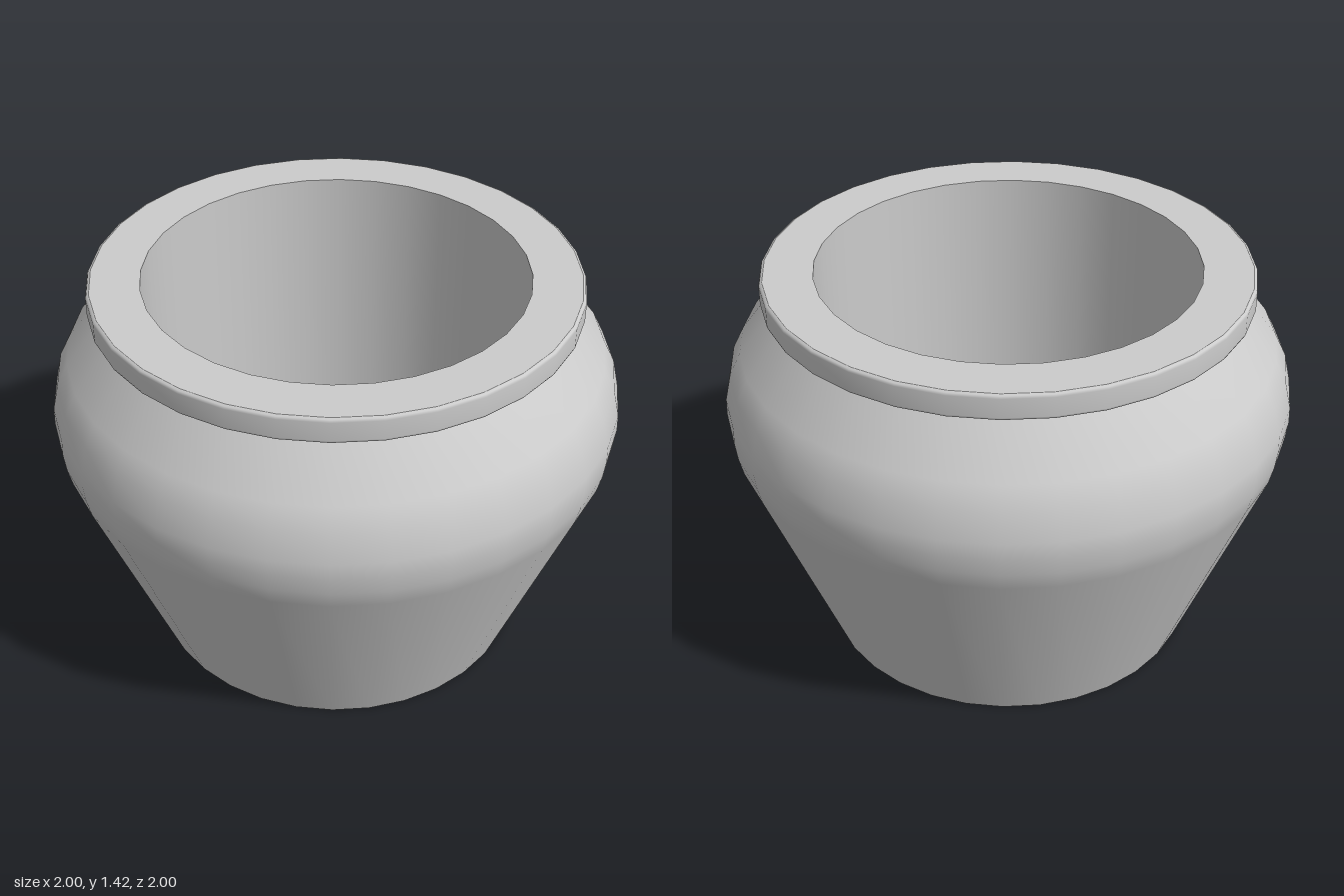
import * as THREE from 'three';

const SIDES = 32;
const material = new THREE.MeshStandardMaterial({ color: 0xcccccc });

// One smooth surface of revolution; separate surfaces keep the edges between them sharp
function turned(name, profile) {
  const points = profile.map(([r, y]) => new THREE.Vector2(r, y));
  const mesh = new THREE.Mesh(new THREE.LatheGeometry(points, SIDES), material);
  mesh.name = name;
  return mesh;
}

export function createModel() {
  const pot = new THREE.Group();
  pot.name = 'pot';

  const footRadius = 0.675, mouthRadius = 0.667;
  const rimRadius = 0.85, rimBottom = 1.325, top = 1.417;
  const floorY = 0.08, bevel = 0.012;

  // Underside and bulging outer wall
  pot.add(turned('base', [[0, 0], [footRadius, 0]]));
  pot.add(turned('body', [
    [footRadius, 0], [0.977, 0.78], [0.992, 0.845], [1, 0.91], [0.998, 0.97],
    [0.975, 1.07], [0.935, 1.15], [0.8, rimBottom],
  ]));

  // Projecting rim with slightly softened outer corners
  pot.add(turned('rimUnderside', [[0.79, rimBottom], [rimRadius - bevel, rimBottom]]));
  pot.add(turned('rimEdge', [
    [rimRadius - bevel, rimBottom], [rimRadius - bevel * 0.3, rimBottom + bevel * 0.3],
    [rimRadius, rimBottom + bevel], [rimRadius, top - bevel],
    [rimRadius - bevel * 0.3, top - bevel * 0.3], [rimRadius - bevel, top],
  ]));
  pot.add(turned('rimTop', [[rimRadius - bevel, top], [mouthRadius, top]]));

  // Straight-sided hollow
  pot.add(turned('innerWall', [[mouthRadius, top], [mouthRadius, floorY]]));
  pot.add(turned('innerFloor', [[mouthRadius, floorY], [0, floorY]]));

  return pot;
}
